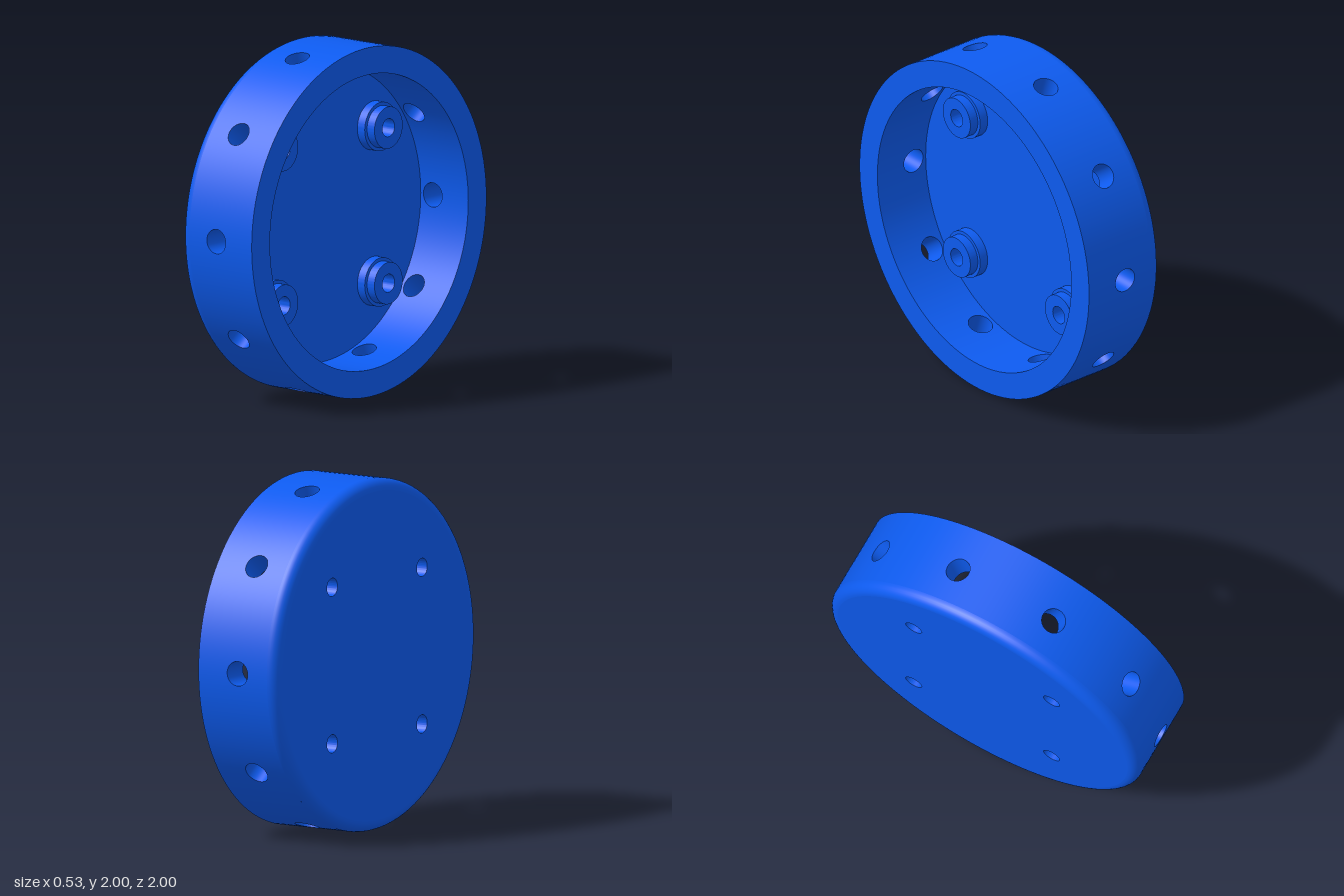
import * as THREE from 'three';
import { toCreasedNormals } from 'three/addons/utils/BufferGeometryUtils.js';

const R = 1, RI = 0.845;                 // outer and inner radius
const BACK = -0.265, FRONT = 0.265;      // extent along the axis
const FLOOR = -0.09, FILLET = 0.065;
const HOLES = 10, HOLE_R = 0.07;         // radial holes in the wall
const SCREW_R = 0.052, SCREW_AT = 0.445;

const material = new THREE.MeshStandardMaterial({ color: 0x0d5bf0 });

function add(parent, name, geometry) {
  const mesh = new THREE.Mesh(geometry, material);
  mesh.name = name;
  parent.add(mesh);
  return mesh;
}

// Round plate from z0 to z1 with round holes at the given centres
function plate(radius, centres, z0, z1) {
  const shape = new THREE.Shape().absarc(0, 0, radius, 0, Math.PI * 2, false);
  for (const [x, y] of centres) {
    shape.holes.push(new THREE.Path().absarc(x, y, SCREW_R, 0, Math.PI * 2, true));
  }
  const g = new THREE.ExtrudeGeometry(shape, { depth: z1 - z0, bevelEnabled: false, curveSegments: 60 });
  return toCreasedNormals(g.translate(0, 0, z0), 0.6);
}

// One sector of the wall: loops blend from the round hole out to the sector's edge
function wallSector() {
  const side = 12, n = side * 4, rings = 6, half = Math.PI / HOLES;
  const pos = [], nor = [], idx = [];

  const quads = (start, loops, flip) => {
    for (let k = 0; k < loops; k++) {
      for (let i = 0; i < n; i++) {
        const j = (i + 1) % n, p = start + k * n, q = p + n;
        const [a, b, c, d] = [p + i, q + i, q + j, p + j];
        idx.push(...(flip ? [a, c, b, a, d, c] : [a, b, c, a, c, d]));
      }
    }
  };
  const phiAt = (i) => -0.75 * Math.PI + (i / n) * Math.PI * 2;

  const skin = (r, z0, z1, sign) => {
    const start = pos.length / 3;
    for (let k = 0; k <= rings; k++) {
      for (let i = 0; i < n; i++) {
        const f = ((i % side) / side) * 2 - 1;
        const [u, v] = [[f, -1], [1, f], [-f, 1], [-1, -f]][Math.floor(i / side)];
        const phi = phiAt(i), t = k / rings;
        const th = THREE.MathUtils.lerp(Math.asin(HOLE_R * Math.cos(phi) / r), u * half, t);
        const z = THREE.MathUtils.lerp(HOLE_R * Math.sin(phi), z0 + (v + 1) / 2 * (z1 - z0), t);
        pos.push(r * Math.cos(th), r * Math.sin(th), z);
        nor.push(sign * Math.cos(th), sign * Math.sin(th), 0);
      }
    }
    quads(start, rings, sign < 0);
  };
  skin(R, BACK + FILLET, FRONT, 1);
  skin(RI, FLOOR, FRONT, -1);

  // Bore joining the two skins
  const start = pos.length / 3;
  for (const r of [R, RI]) {
    for (let i = 0; i < n; i++) {
      const c = Math.cos(phiAt(i)), s = Math.sin(phiAt(i));
      pos.push(Math.sqrt(r * r - (HOLE_R * c) ** 2), HOLE_R * c, HOLE_R * s);
      nor.push(0, -c, -s);
    }
  }
  quads(start, 1, true);

  const g = new THREE.BufferGeometry();
  g.setAttribute('position', new THREE.Float32BufferAttribute(pos, 3));
  g.setAttribute('normal', new THREE.Float32BufferAttribute(nor, 3));
  g.setIndex(idx);
  return g;
}

export function createModel() {
  const model = new THREE.Group();
  model.name = 'drilledCup';
  const body = new THREE.Group(); // built along z, then turned to open toward +x
  body.name = 'body';
  body.rotation.y = Math.PI / 2;
  body.position.y = 1;
  model.add(body);

  // Wall with radial holes
  const wall = new THREE.Group();
  wall.name = 'wall';
  body.add(wall);
  const sector = wallSector();
  for (let i = 0; i < HOLES; i++) {
    add(wall, 'wallSector', sector).rotation.z = (i / HOLES) * Math.PI * 2;
  }

  // Front rim, rounded back edge and flat back ring
  add(body, 'rim', new THREE.RingGeometry(RI, R, 120).translate(0, 0, FRONT));
  const arc = [];
  for (let i = 0; i <= 8; i++) {
    const a = (i / 8 - 1) * Math.PI / 2;
    arc.push(new THREE.Vector2(R - FILLET + FILLET * Math.cos(a), BACK + FILLET + FILLET * Math.sin(a)));
  }
  add(body, 'roundedEdge', new THREE.LatheGeometry(arc, 120).rotateX(Math.PI / 2));
  add(body, 'backRing', new THREE.RingGeometry(RI, R - FILLET, 120).rotateY(Math.PI).translate(0, 0, BACK));

  // Floor with four screw holes
  const corners = [[1, 1], [-1, 1], [-1, -1], [1, -1]].map(([x, y]) => [x * SCREW_AT, y * SCREW_AT]);
  add(body, 'floor', plate(RI, corners, BACK, FLOOR));

  // Stepped bosses around the screw holes
  const bossBase = plate(0.14, [[0, 0]], FLOOR, -0.035);
  const bossTop = plate(0.12, [[0, 0]], -0.035, 0.02);
  for (const [x, y] of corners) {
    const boss = new THREE.Group();
    boss.name = 'boss';
    boss.position.set(x, y, 0);
    add(boss, 'bossBase', bossBase);
    add(boss, 'bossTop', bossTop);
    body.add(boss);
  }
  return model;
}
